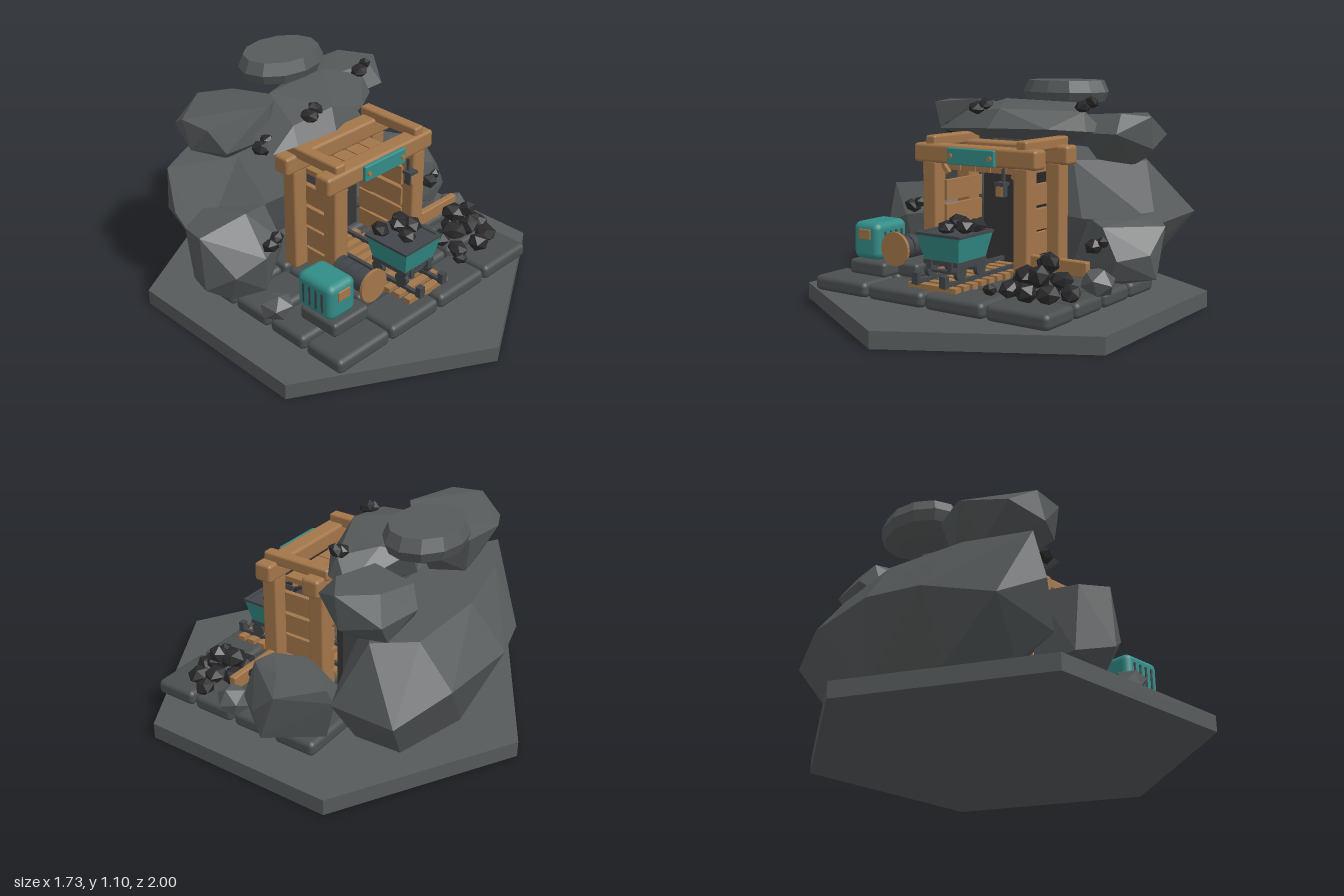
import * as THREE from 'three';
import { RoundedBoxGeometry } from 'three/addons/geometries/RoundedBoxGeometry.js';
import { ConvexGeometry } from 'three/addons/geometries/ConvexGeometry.js';

const material = (name, color) => Object.assign(new THREE.MeshStandardMaterial({ color }), { name });

export function createModel() {
  const stone = material('stone', 0x565a5b);
  const paving = material('paving', 0x4b4f50);
  const metal = material('metal', 0x42464a);
  const coal = material('coal', 0x29292b);
  const wood = material('wood', 0xa3764a);
  const teal = material('teal', 0x338c87);
  const dark = material('tunnelDark', 0x363636);

  const model = new THREE.Group();
  model.name = 'mineEntrance';
  let seed = 7;
  const random = () => (seed = (seed * 16807) % 2147483647) / 2147483647;
  const flat = (geometry) => {
    const g = geometry.toNonIndexed();
    g.computeVertexNormals();
    return g;
  };
  const add = (name, geometry, mat, x = 0, y = 0, z = 0) => {
    const mesh = new THREE.Mesh(geometry, mat);
    mesh.name = name;
    mesh.position.set(x, y, z);
    model.add(mesh);
    return mesh;
  };
  // Box given by its extents, with softened edges when r > 0
  const box = (name, mat, x0, x1, y0, y1, z0, z1, r = 0) => {
    const size = [x1 - x0, y1 - y0, z1 - z0];
    const g = r ? new RoundedBoxGeometry(...size, 2, r) : new THREE.BoxGeometry(...size);
    return add(name, g, mat, (x0 + x1) / 2, (y0 + y1) / 2, (z0 + z1) / 2);
  };
  // Faceted boulder wrapped around a few corner points
  const boulder = (name, points) =>
    add(name, new ConvexGeometry(points.map((p) => new THREE.Vector3(...p))), stone);
  // Angular loose piece, flattened a little
  const lump = (name, mat, x, y, z, r) => {
    const m = add(name, new THREE.IcosahedronGeometry(r, 0), mat, x, y, z);
    m.rotation.set(random() * 0.8 - 0.4, random() * 6, random() * 0.8 - 0.4);
    m.scale.set(0.95 + random() * 0.3, 0.75 + random() * 0.15, 0.9 + random() * 0.25);
    return m;
  };

  // Hexagonal ground and paving
  add('ground', flat(new THREE.CylinderGeometry(1, 1, 0.08, 6)), stone, 0, 0.04, 0);
  for (const x of [-0.51, -0.17, 0.17, 0.51])
    for (const z of [0.535, 0.295, 0.05, -0.19])
      box('pavingSlab', paving, x - 0.163, x + 0.163, 0.097, 0.172, z - 0.112, z + 0.112, 0.025);

  // Boulders around and above the entrance
  boulder('backBoulder', [
    [-0.72, 0.5, -0.42], [-0.62, 0.4, -0.62], [-0.33, 0.48, -0.79], [-0.05, 0.5, -0.87],
    [0.38, 0.5, -0.84], [0.68, 0.43, -0.73], [0.64, 0.4, -0.38], [0.3, 0.42, -0.24],
    [-0.3, 0.45, -0.24], [-0.66, 0.3, -0.32], [-0.7, 0.715, -0.48], [-0.4, 0.73, -0.62],
    [0, 0.73, -0.71], [0.4, 0.71, -0.68], [0.52, 0.7, -0.5], [0.2, 0.7, -0.32], [-0.4, 0.72, -0.32],
    [-0.53, 0.18, -0.42], [-0.3, 0.17, -0.63], [0.1, 0.16, -0.74], [0.5, 0.18, -0.66],
    [0.5, 0.17, -0.42], [0, 0.17, -0.34], [-0.4, 0.17, -0.34],
  ]);
  boulder('rightSideBoulder', [
    [-0.81, 0.53, -0.12], [-0.77, 0.5, -0.28], [-0.55, 0.56, -0.1], [-0.39, 0.52, -0.15],
    [-0.375, 0.32, -0.05], [-0.42, 0.17, -0.1], [-0.7, 0.17, -0.05], [-0.81, 0.25, -0.1],
    [-0.58, 0.4, 0.07], [-0.6, 0.5, -0.36], [-0.55, 0.17, -0.34], [-0.73, 0.34, 0.03],
    [-0.44, 0.42, 0.02], [-0.55, 0.19, 0.03], [-0.74, 0.2, -0.28],
  ]);
  boulder('leftSideBoulder', [
    [0.42, 0.44, -0.1], [0.52, 0.47, 0.03], [0.66, 0.47, -0.1], [0.79, 0.44, -0.18],
    [0.64, 0.47, -0.36], [0.78, 0.32, -0.05], [0.79, 0.2, -0.1], [0.62, 0.165, -0.05],
    [0.4, 0.25, 0], [0.68, 0.3, 0.08], [0.6, 0.45, 0.075], [0.5, 0.25, 0.06],
    [0.5, 0.4, -0.33], [0.62, 0.4, -0.39], [0.6, 0.19, -0.33], [0.42, 0.2, -0.2], [0.63, 0.2, 0.06],
  ]);
  boulder('upperRightBoulder', [
    [-0.65, 0.98, -0.4], [-0.63, 0.97, -0.24], [-0.3, 1.0, -0.19], [-0.15, 0.97, -0.3],
    [-0.38, 0.95, -0.63], [-0.2, 0.93, -0.58], [-0.6, 0.9, -0.53], [-0.65, 0.84, -0.35],
    [-0.43, 0.705, -0.37], [-0.2, 0.72, -0.37], [-0.25, 0.74, -0.54], [-0.43, 0.76, -0.52],
    [-0.3, 0.84, -0.18], [-0.56, 0.84, -0.2], [-0.1, 0.85, -0.4],
  ]);
  boulder('upperLeftBoulder', [
    [0.605, 0.93, -0.38], [0.48, 0.945, -0.3], [0.25, 0.93, -0.35], [0.5, 0.94, -0.54],
    [0.3, 0.92, -0.58], [0.58, 0.83, -0.6], [0.35, 0.83, -0.635], [0.605, 0.77, -0.4],
    [0.5, 0.85, -0.22], [0.28, 0.85, -0.22], [0.18, 0.82, -0.42], [0.5, 0.69, -0.42],
    [0.4, 0.67, -0.5], [0.5, 0.72, -0.58], [0.32, 0.71, -0.35], [0.25, 0.73, -0.56],
  ]);
  boulder('overhangBoulder', [
    [-0.43, 0.85, -0.03], [-0.3, 0.86, 0], [-0.08, 0.87, 0.03], [0.2, 0.87, -0.07],
    [0.36, 0.86, -0.17], [0.4, 0.85, -0.3], [-0.28, 0.94, -0.05], [-0.05, 0.965, -0.03],
    [0.33, 0.955, -0.2], [0.2, 0.99, -0.34], [-0.2, 1.0, -0.3], [-0.4, 0.88, -0.2],
    [-0.3, 0.81, -0.12], [0.05, 0.8, -0.2], [0.3, 0.81, -0.3], [0, 0.8, -0.42], [0.1, 0.95, -0.45],
  ]);
  const capPoints = [];
  for (let i = 0; i < 12; i++) {
    const a = (i / 12) * Math.PI * 2;
    for (const [k, y] of [[0.55, 0.945], [0.9, 0.985], [1, 1.035], [0.88, 1.095]])
      capPoints.push([0.047 + Math.cos(a) * 0.237 * k, y, -0.49 + Math.sin(a) * 0.184 * k]);
  }
  boulder('capBoulder', capPoints);
  lump('smallStone', stone, 0.64, 0.22, 0.18, 0.085);
  lump('smallStone', stone, -0.63, 0.22, 0.19, 0.08);

  // Dark tunnel end with chamfered top corners
  const arch = new THREE.Shape([[-0.21, 0.17], [0.21, 0.17], [0.21, 0.62], [0.16, 0.673], [-0.16, 0.673], [-0.21, 0.62]]
    .map((p) => new THREE.Vector2(...p)));
  add('tunnelEnd', new THREE.ExtrudeGeometry(arch, { depth: 0.035, bevelEnabled: false }), dark, 0, 0, -0.15);

  // Timber frame: posts, lintels, roof beams, plank walls and ceiling
  for (const z of [0.215, -0.06]) {
    box('lintel', wood, -0.36, 0.355, 0.71, 0.803, z - 0.047, z + 0.047, 0.016);
    for (const x of [-0.27, 0.267]) box('post', wood, x - 0.042, x + 0.042, 0.17, 0.72, z - 0.042, z + 0.042, 0.012);
  }
  for (const s of [-1, 1]) {
    box('roofBeam', wood, s * 0.267 - 0.03, s * 0.267 + 0.03, 0.785, 0.842, -0.12, 0.25, 0.012);
    for (const [y0, y1] of [[0.175, 0.265], [0.28, 0.385], [0.4, 0.5], [0.52, 0.62]])
      box('wallPlank', wood, s * 0.225 - 0.013, s * 0.225 + 0.013, y0, y1, -0.1, 0.19);
    const brace = box('cornerBrace', wood, -0.01, 0.01, -0.035, 0.035, -0.012, 0.012);
    brace.position.set(s * 0.212, 0.685, 0.2);
    brace.rotation.z = s * -0.7;
  }
  for (let i = -2; i <= 2; i++)
    box('ceilingPlank', wood, i * 0.09 - 0.042, i * 0.09 + 0.042, 0.673, 0.7, -0.15, 0.18);

  // Sign plate with pegs, and hanging lantern
  box('signPlate', teal, -0.14, 0.136, 0.713, 0.793, 0.26, 0.282, 0.006);
  for (const x of [-0.117, 0.113])
    add('signPeg', new THREE.CylinderGeometry(0.012, 0.012, 0.01, 10), wood, x, 0.753, 0.285).rotation.x = Math.PI / 2;
  box('lanternHook', metal, 0.172, 0.184, 0.64, 0.71, 0.255, 0.27);
  box('lanternCap', metal, 0.152, 0.204, 0.635, 0.65, 0.25, 0.302);
  box('lantern', metal, 0.156, 0.2, 0.578, 0.638, 0.255, 0.297, 0.006);
  box('lanternPane', wood, 0.16, 0.196, 0.585, 0.631, 0.296, 0.301);

  // Teal machine on a plinth
  box('machinePlinth', paving, -0.57, -0.345, 0.17, 0.242, 0.28, 0.51, 0.018);
  box('machineBody', teal, -0.57, -0.405, 0.24, 0.425, 0.26, 0.485, 0.035);
  box('machineLabel', wood, -0.525, -0.45, 0.34, 0.392, 0.482, 0.491, 0.004);
  for (let i = 0; i < 4; i++)
    for (const x of [-0.571, -0.404])
      box('machineVent', metal, x - 0.003, x + 0.003, 0.28, 0.38, 0.305 + i * 0.04, 0.317 + i * 0.04);

  // Cable drum
  box('drumPlinth', paving, -0.335, -0.21, 0.17, 0.24, 0.27, 0.43, 0.018);
  const drum = [['drumCore', metal, 0.05, 0.2, 0.38], ['drumDisc', wood, 0.083, 0.016, 0.483], ['drumDisc', metal, 0.06, 0.02, 0.28],
    ['cableWrap', metal, 0.058, 0.045, 0.325], ['cableWrap', metal, 0.058, 0.045, 0.38], ['cableWrap', metal, 0.058, 0.045, 0.435]];
  for (const [name, mat, r, h, z] of drum)
    add(name, new THREE.CylinderGeometry(r, r, h, 20), mat, -0.295, 0.315, z).rotation.x = Math.PI / 2;

  // Track
  for (let i = 0; i < 10; i++) {
    const z = 0.555 - i * 0.065;
    box('sleeper', wood, -0.14, 0.136, 0.165, 0.195, z - 0.02, z + 0.02);
  }
  for (const x of [-0.08, 0.08]) {
    box('rail', metal, x - 0.01, x + 0.01, 0.19, 0.212, -0.1, 0.59);
    box('railStop', metal, x - 0.017, x + 0.017, 0.195, 0.25, 0.57, 0.6);
  }

  // Mine cart
  const tub = add('cartTub', flat(new THREE.CylinderGeometry(Math.SQRT1_2, Math.SQRT1_2 * 0.8, 1, 4, 1).rotateY(Math.PI / 4)), teal, 0, 0.355, 0.4);
  tub.scale.set(0.247, 0.12, 0.262);
  box('cartFill', metal, -0.115, 0.115, 0.405, 0.418, 0.28, 0.52);
  for (const s of [-1, 1]) {
    box('cartRim', metal, s * 0.119 - 0.01, s * 0.119 + 0.01, 0.411, 0.424, 0.268, 0.532);
    box('cartRim', metal, -0.129, 0.129, 0.411, 0.424, 0.4 + s * 0.122 - 0.01, 0.4 + s * 0.122 + 0.01);
    box('chassisBeam', metal, s * 0.06 - 0.013, s * 0.06 + 0.013, 0.255, 0.3, 0.28, 0.52);
    const axle = add('axle', new THREE.CylinderGeometry(0.01, 0.01, 0.18, 8), metal, 0, 0.242, 0.4 + s * 0.075);
    axle.rotation.z = Math.PI / 2;
    for (const x of [-0.085, 0.085])
      add('cartWheel', new THREE.CylinderGeometry(0.036, 0.036, 0.022, 14), metal, x, 0.245, 0.4 + s * 0.075).rotation.z = Math.PI / 2;
  }
  box('chassisPlate', metal, -0.1, 0.1, 0.275, 0.297, 0.29, 0.51);
  for (const [x, y, z] of [[-0.065, 0.44, 0.31], [0, 0.46, 0.37], [0.065, 0.44, 0.32], [-0.02, 0.44, 0.44], [0.06, 0.45, 0.4]])
    lump('cartCoal', coal, x, y, z, 0.045);

  // Retaining board and coal heap
  box('footing', paving, 0.25, 0.38, 0.17, 0.24, 0.14, 0.3, 0.018);
  box('retainingBoard', wood, 0.3, 0.61, 0.24, 0.315, 0.193, 0.23, 0.008);
  for (const [x, y, z, r] of [
    [0.29, 0.205, 0.525, 0.036], [0.35, 0.205, 0.46, 0.05], [0.35, 0.22, 0.35, 0.055], [0.465, 0.21, 0.5, 0.055],
    [0.56, 0.21, 0.47, 0.055], [0.62, 0.205, 0.38, 0.052], [0.4, 0.26, 0.39, 0.06], [0.48, 0.27, 0.42, 0.06],
    [0.56, 0.255, 0.36, 0.052], [0.47, 0.31, 0.33, 0.058], [0.51, 0.335, 0.38, 0.052], [0.48, 0.22, 0.31, 0.06]])
    lump('heapCoal', coal, x, y, z, r);

  // Coal lodged on the boulders
  for (const [x, y, z] of [[-0.19, 0.965, -0.035], [0.32, 0.98, -0.21], [-0.42, 0.85, -0.12], [-0.54, 0.45, 0.06], [0.56, 0.36, 0.08]]) {
    lump('ledgeCoal', coal, x, y, z, 0.044);
    lump('ledgeCoal', coal, x + 0.045, y + 0.022, z - 0.008, 0.035);
  }
  return model;
}
